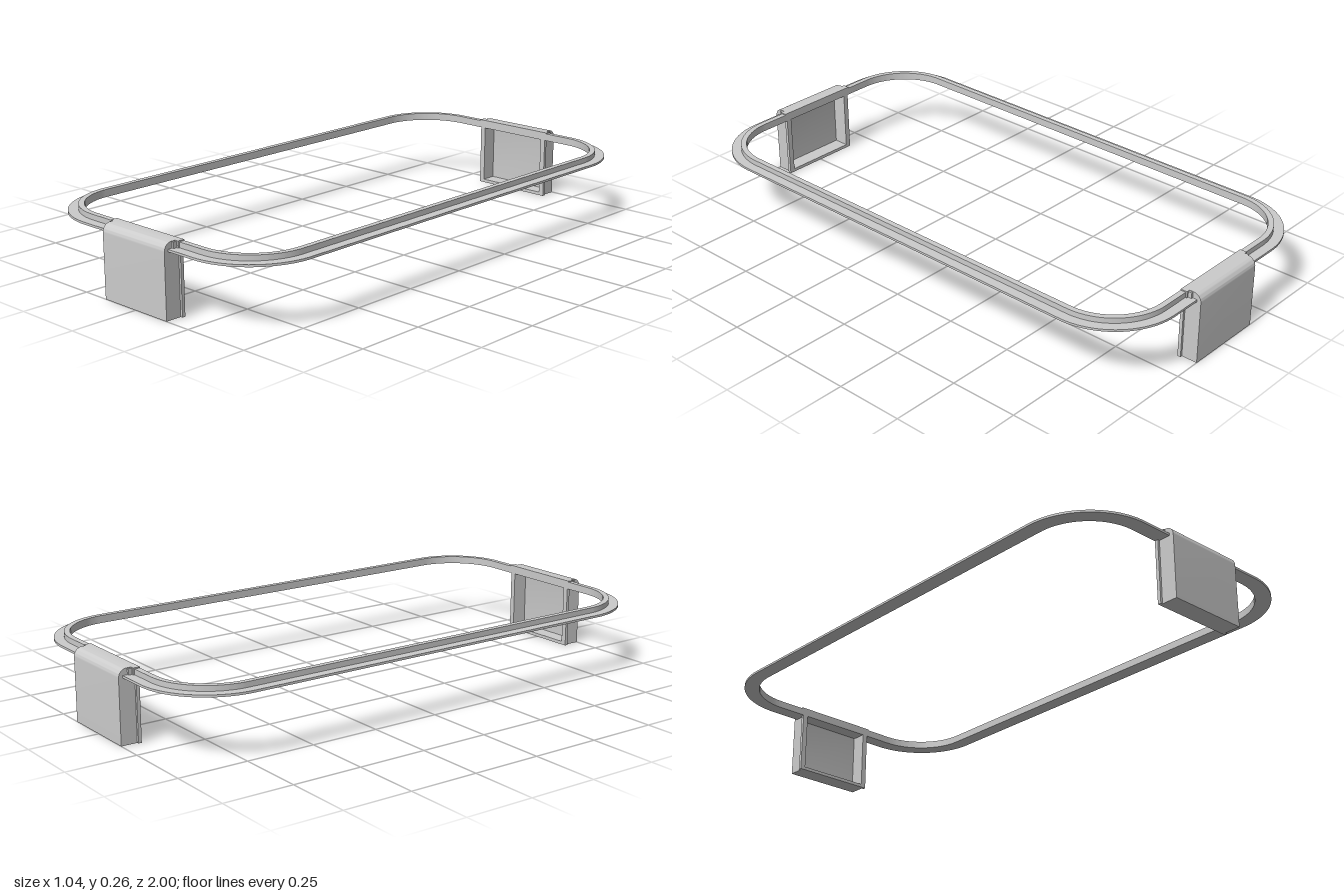
import * as THREE from 'three';
import { toCreasedNormals } from 'three/addons/utils/BufferGeometryUtils.js';

const material = new THREE.MeshStandardMaterial({ color: 0xcccccc });

// Rounded rectangle grown outwards from the inner opening by an offset
function outline(offset) {
  const w = 0.465 + offset, d = 0.93 + offset, r = 0.2 + offset;
  const s = new THREE.Shape();
  s.absarc(w - r, d - r, r, 0, Math.PI / 2);
  s.absarc(r - w, d - r, r, Math.PI / 2, Math.PI);
  s.absarc(r - w, r - d, r, Math.PI, Math.PI * 1.5);
  s.absarc(w - r, r - d, r, Math.PI * 1.5, Math.PI * 2);
  s.closePath();
  return s;
}

function addMesh(parent, name, geometry) {
  const mesh = new THREE.Mesh(geometry, material);
  mesh.name = name;
  parent.add(mesh);
  return mesh;
}

// Flat band between two offsets, lying in the xz plane
function addBand(parent, name, inner, outer, y0, y1) {
  const shape = outline(outer);
  shape.holes.push(outline(inner));
  const g = new THREE.ExtrudeGeometry(shape, { depth: y1 - y0, bevelEnabled: false, curveSegments: 20 });
  g.rotateX(-Math.PI / 2).translate(0, y0, 0);
  addMesh(parent, name, toCreasedNormals(g, 0.5));
}

// Extrude a (z, y) profile across x
function addProfile(parent, name, shape, x0, x1) {
  const g = new THREE.ExtrudeGeometry(shape, { depth: x1 - x0, bevelEnabled: false, curveSegments: 8 });
  g.rotateY(-Math.PI / 2).translate(x1, 0, 0);
  addMesh(parent, name, toCreasedNormals(g, 0.5));
}

function addBox(parent, name, x0, x1, y0, y1, z0, z1) {
  const g = new THREE.BoxGeometry(x1 - x0, y1 - y0, z1 - z0);
  addMesh(parent, name, g.translate((x0 + x1) / 2, (y0 + y1) / 2, (z0 + z1) / 2));
}

// Hollow end tab, open towards the middle of the frame
function createTab() {
  const tab = new THREE.Group();
  const inner = 0.93, outer = 1, top = 0.256, r = 0.03, t = 0.012;

  // Outer plate that curls over the frame
  const shell = new THREE.Shape();
  shell.moveTo(outer - t, 0);
  shell.lineTo(outer, 0);
  shell.lineTo(outer, top - r);
  shell.absarc(outer - r, top - r, r, 0, Math.PI / 2);
  shell.lineTo(inner, top);
  shell.lineTo(inner, top - t);
  shell.lineTo(outer - r, top - t);
  shell.absarc(outer - r, top - r, r - t, Math.PI / 2, 0, true);
  shell.closePath();
  addProfile(tab, 'tabPlate', shell, -0.15, 0.15);

  // Side walls fill the whole depth of the tab
  const side = new THREE.Shape();
  side.moveTo(inner, 0);
  side.lineTo(outer, 0);
  side.lineTo(outer, top - r);
  side.absarc(outer - r, top - r, r, 0, Math.PI / 2);
  side.lineTo(inner, top);
  side.closePath();
  for (const s of [-1, 1]) {
    const span = (a, b) => (s > 0 ? [a, b] : [-b, -a]);
    addProfile(tab, 'tabSideWall', side, ...span(0.138, 0.15));
    addBox(tab, 'tabSideLip', ...span(0.149, 0.158), 0, 0.235, inner, 0.942);
    // Stepped ears gripping the rim
    addBox(tab, 'tabEar', ...span(0.149, 0.164), 0.226, top, inner, 0.955);
    addBox(tab, 'tabEarStep', ...span(0.149, 0.157), 0.226, top - 0.002, 0.955, 0.968);
  }
  addBox(tab, 'tabFloor', -0.14, 0.14, 0, 0.012, inner, outer - t);
  return tab;
}

export function createModel() {
  const model = new THREE.Group();
  model.name = 'frameWithTabs';

  // Frame: wide thin flange with a raised inner rim
  const frame = new THREE.Group();
  frame.name = 'frame';
  addBand(frame, 'flange', 0.02, 0.055, 0.225, 0.233);
  addBand(frame, 'innerRim', 0, 0.02, 0.225, 0.252);
  model.add(frame);

  // One tab at each end
  const front = createTab();
  front.name = 'frontTab';
  const back = createTab();
  back.name = 'backTab';
  back.rotation.y = Math.PI;
  model.add(front, back);
  return model;
}
